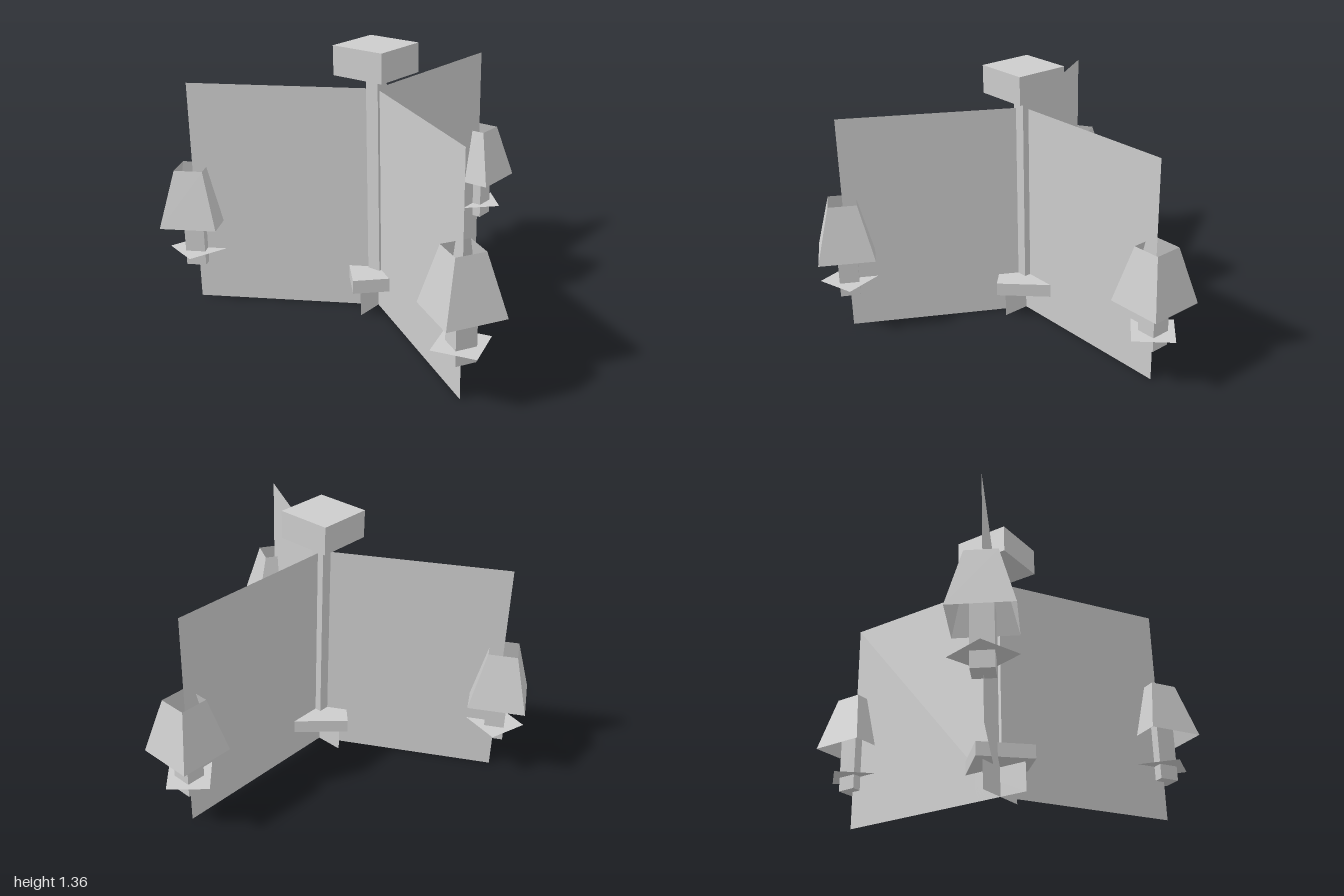
import * as THREE from 'three';

const grey = new THREE.MeshStandardMaterial({ color: 0xcccccc, side: THREE.DoubleSide, flatShading: true });
grey.name = 'plain grey';

function part(name, geometry, x = 0, y = 0, z = 0, turn = 0) {
  const mesh = new THREE.Mesh(geometry, grey);
  mesh.name = name;
  mesh.position.set(x, y, z);
  mesh.rotation.y = turn;
  return mesh;
}

// box given by its width and its lower and upper heights
function post(name, width, y0, y1, turn = 0) {
  return part(name, new THREE.BoxGeometry(width, y1 - y0, width), 0, (y0 + y1) / 2, 0, turn);
}

// open four-sided shade, aligned with the axes
function shadeGeometry(top, bottom, height) {
  const g = new THREE.CylinderGeometry(top * Math.SQRT1_2, bottom * Math.SQRT1_2, height, 4, 1, true);
  return g.rotateY(Math.PI / 4);
}

// one arm sheet with the lamp at its end, reaching out along -z
function createArm() {
  const reach = 0.93;
  const arm = new THREE.Group();
  arm.name = 'arm';
  const sheet = new THREE.PlaneGeometry(reach, 1.145).rotateY(Math.PI / 2);
  arm.add(part('armSheet', sheet, 0, 0.5725, -reach / 2));

  const lamp = new THREE.Group();
  lamp.name = 'lamp';
  lamp.position.z = -reach;
  lamp.add(post('candle', 0.1, 0.2, 0.49));
  lamp.add(part('shade', shadeGeometry(0.143, 0.284, 0.285), 0, 0.5725));
  // flat drip tray, set cornerwise
  const tray = new THREE.PlaneGeometry(0.208, 0.208).rotateX(-Math.PI / 2);
  lamp.add(part('dripTray', tray, 0, 0.275, 0, Math.PI / 4));
  arm.add(lamp);
  return arm;
}

export function createModel() {
  const model = new THREE.Group();
  model.name = 'chandelier';
  model.position.z = 0;

  const body = new THREE.Group();
  body.name = 'body';
  body.position.z = 0.21;
  model.add(body);

  // ceiling block, column and lower block
  body.add(post('ceilingBlock', 0.284, 1.218, 1.36));
  body.add(post('column', 0.07, 0.215, 1.218));
  body.add(post('lowerBlock', 0.284, 0.145, 0.215, Math.PI / 4));

  // crossed sheets hanging under the lower block
  for (const turn of [0, Math.PI / 2]) {
    body.add(part('finial', new THREE.PlaneGeometry(0.286, 0.145), 0, 0.0725, 0, turn));
  }

  // three arms, evenly spread
  for (let i = 0; i < 3; i++) {
    const arm = createArm();
    arm.rotation.y = (i * Math.PI * 2) / 3;
    body.add(arm);
  }
  return model;
}
